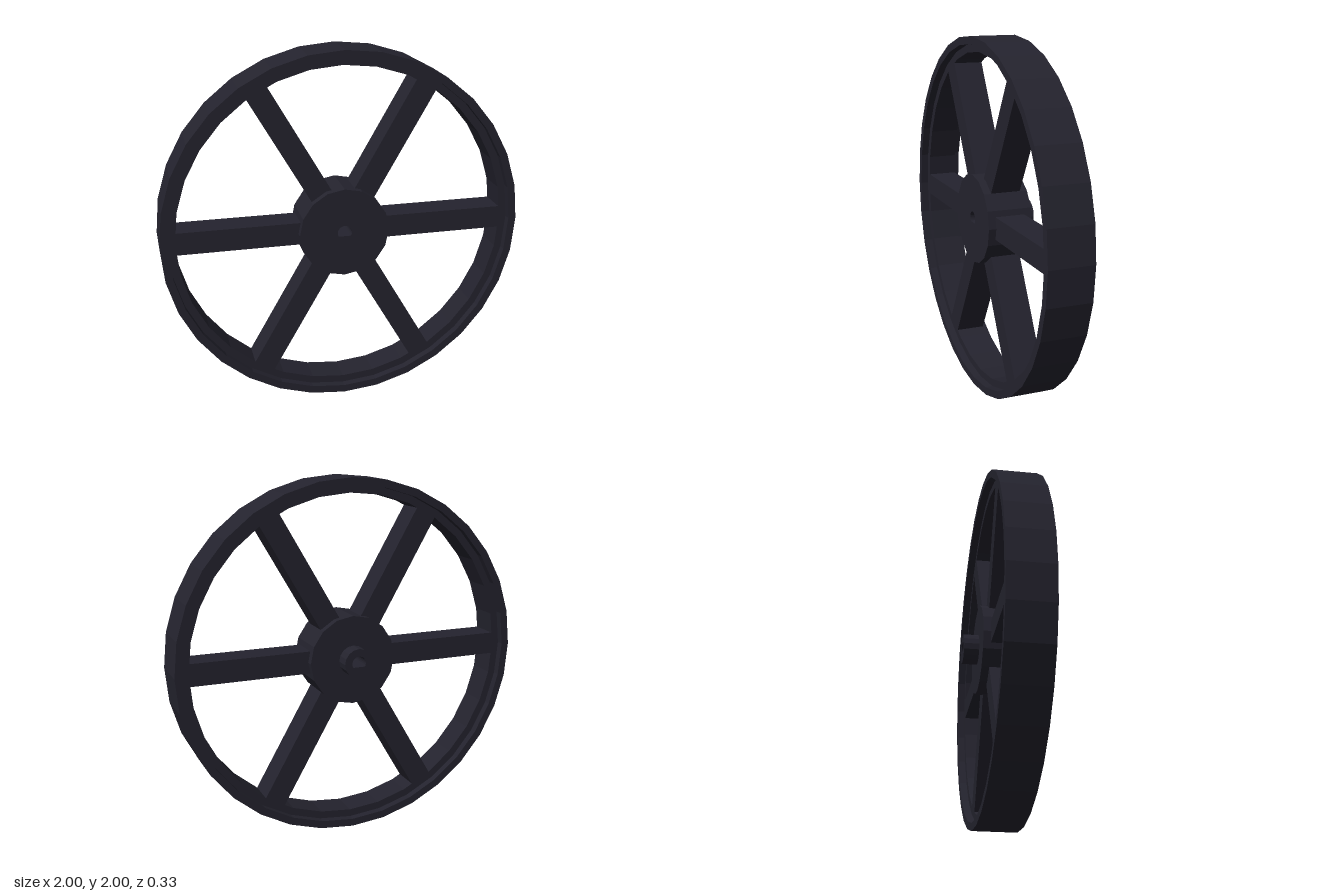
import * as THREE from 'three';

const BACK = -0.083, FRONT = 0.167;    // full wheel width along z
const INSET = 0.042;                   // recess of spokes and inner rim
const SPOKES = 6;

// Regular polygon outline with its first corner on +x
function ring(path, radius, sides) {
  for (let i = 0; i < sides; i++) {
    const a = (i / sides) * Math.PI * 2;
    const x = radius * Math.cos(a), y = radius * Math.sin(a);
    if (i === 0) path.moveTo(x, y);
    else path.lineTo(x, y);
  }
  path.closePath();
  return path;
}

// D-shaped axle bore: round on top, flat at the bottom
function axleBore() {
  const r = 0.04, flat = -0.02, start = Math.asin(flat / r);
  const points = [];
  for (let i = 0; i <= 16; i++) {
    const a = start + (i / 16) * (Math.PI - 2 * start);
    points.push(new THREE.Vector2(r * Math.cos(a), r * Math.sin(a)));
  }
  return new THREE.Path(points);
}

// Polygonal disc with the bore through it, from z0 to z1
function boredDisc(radius, sides, z0, z1) {
  const shape = ring(new THREE.Shape(), radius, sides);
  shape.holes.push(axleBore());
  const geo = new THREE.ExtrudeGeometry(shape, { depth: z1 - z0, bevelEnabled: false });
  return geo.translate(0, 0, z0);
}

export function createModel() {
  const model = new THREE.Group();
  model.name = 'spokedWheel';
  const wheel = new THREE.Group();
  wheel.name = 'wheel';
  wheel.position.y = 1;
  model.add(wheel);

  const black = new THREE.MeshStandardMaterial({ color: 0x24232e });
  black.name = 'charcoalPlastic';

  const add = (geometry, name) => {
    const mesh = new THREE.Mesh(geometry, black);
    mesh.name = name;
    wheel.add(mesh);
    return mesh;
  };

  // Rim: wide outer band with a narrower, recessed inner band
  const profile = [
    [0.915, BACK + INSET], [0.957, BACK + INSET], [0.957, BACK], [1, BACK],
    [1, FRONT], [0.957, FRONT], [0.957, FRONT - INSET], [0.915, FRONT - INSET],
    [0.915, BACK + INSET],
  ].map(([r, z]) => new THREE.Vector2(r, z));
  const rim = new THREE.LatheGeometry(profile, 32).rotateX(Math.PI / 2).toNonIndexed();
  rim.computeVertexNormals();
  add(rim, 'rim');

  // Hub and the axle boss behind it
  add(boredDisc(0.25, 16, BACK, FRONT), 'hub');
  add(boredDisc(0.083, 16, -0.167, BACK), 'axleBoss');

  // Spokes, flush with the recessed inner band
  const inner = 0.2, outer = 0.935;
  const spokeGeo = new THREE.BoxGeometry(outer - inner, 0.125, FRONT - BACK - 2 * INSET);
  spokeGeo.translate((inner + outer) / 2, 0, (FRONT + BACK) / 2);
  for (let i = 0; i < SPOKES; i++) {
    add(spokeGeo, `spoke${i + 1}`).rotation.z = (i / SPOKES) * Math.PI * 2;
  }

  return model;
}
